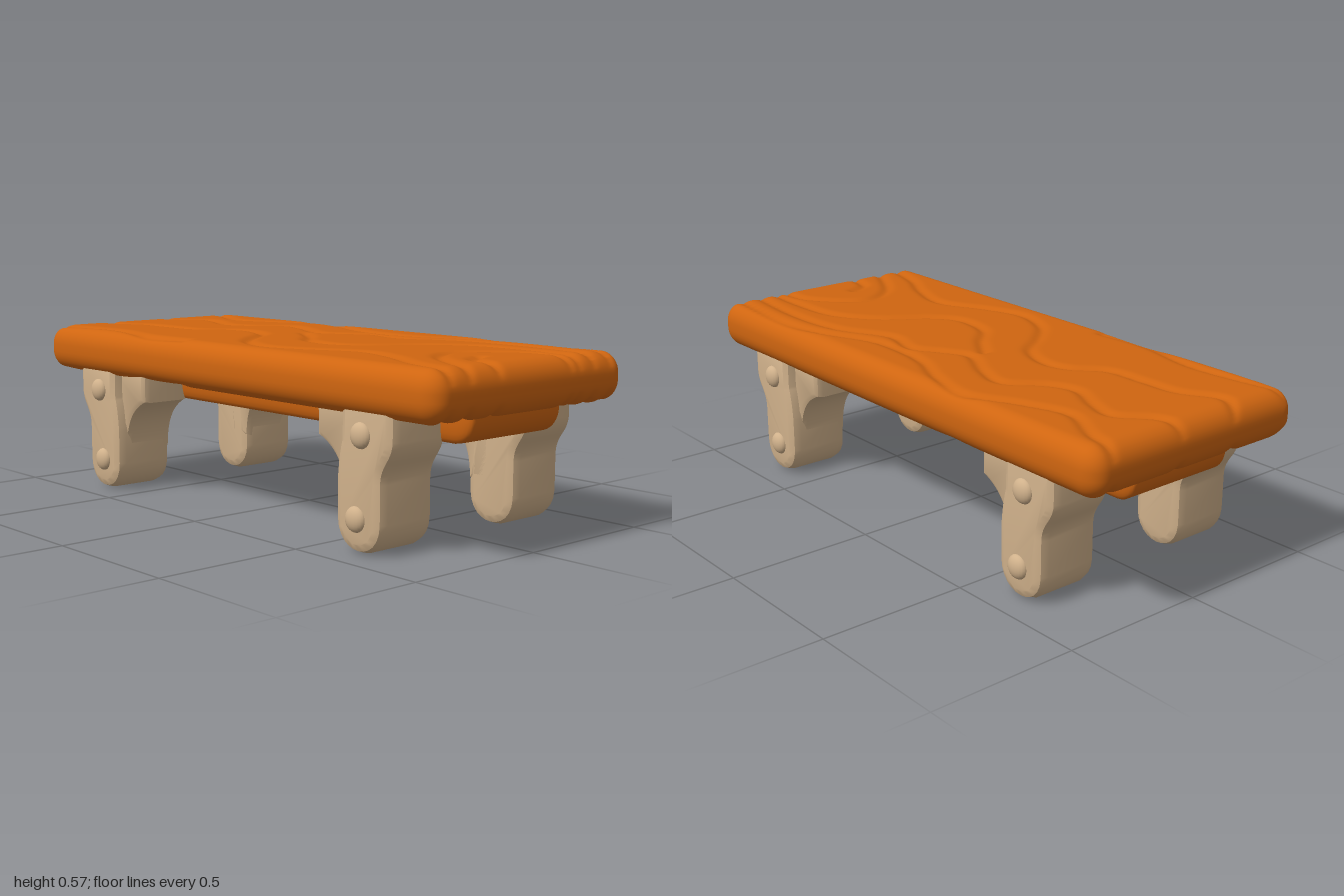
import * as THREE from 'three';
import { mergeVertices, toCreasedNormals } from 'three/addons/utils/BufferGeometryUtils.js';

// Wood grain: grooves across the board, as [x, z] points
const GRAIN = [
  [[-1, -.35], [-.88, -.33], [-.72, -.26], [-.55, -.31], [-.38, -.385], [-.2, -.35], [-.05, -.29], [.1, -.27], [.25, -.28], [.45, -.36], [.65, -.385], [1, -.36]],
  [[-1, -.07], [-.9, -.09], [-.8, -.17], [-.7, -.15], [-.58, -.1], [-.48, -.13], [-.37, -.225], [-.25, -.2], [-.1, -.13], [0, -.17], [.1, -.225], [.25, -.2], [.45, -.29], [.7, -.31], [1, -.28]],
  [[-1, .15], [-.9, .19], [-.78, .13], [-.65, .12], [-.5, .11], [-.4, .03], [-.3, .01], [-.18, .06], [-.1, .17], [0, .27], [.15, .32], [.3, .28], [.48, .2], [.65, .24], [.8, .31], [1, .36]],
  [[-.1, -.07], [0, 0], [.1, .09], [.25, .11], [.35, .04], [.45, -.1], [.6, -.2], [.8, -.22], [1, -.21]],
  [[1, -.17], [.85, -.16], [.72, -.06], [.68, .04], [.75, .15], [.9, .24], [1, .28]],
  [[.82, .05], [.86, .12], [.98, .15]],
  [[-1, .39], [-.8, .36], [-.62, .35], [-.4, .39], [-.2, .38]],
];

function grainSamples() {
  return GRAIN.flatMap((line) => new THREE.SplineCurve(line.map(([x, z]) => new THREE.Vector2(x, z))).getPoints(line.length * 12));
}

// Box whose edges are rounded by a separate radius on each axis
function softBox(size, radius, segments, groove = []) {
  const geo = new THREE.BoxGeometry(...size, ...segments);
  const pos = geo.attributes.position;
  const p = new THREE.Vector3(), q = new THREE.Vector3(), d = new THREE.Vector3();
  const r = new THREE.Vector3(...radius);
  const inner = new THREE.Vector3(...size).multiplyScalar(0.5).sub(r);
  const innerNeg = inner.clone().negate();
  for (let i = 0; i < pos.count; i++) {
    p.fromBufferAttribute(pos, i);
    q.copy(p).clamp(innerNeg, inner);
    d.copy(p).sub(q).divide(r).normalize();
    p.copy(q).addScaledVector(d.clone().multiply(r), 1);
    if (groove.length && Math.abs(d.y) > 0.3) {
      let near = 1;
      for (const g of groove) near = Math.min(near, (g.x - p.x) ** 2 + (g.y - p.z) ** 2);
      p.y -= d.y * 0.011 * Math.exp(-near / 0.0003);
    }
    pos.setXYZ(i, p.x, p.y, p.z);
  }
  geo.deleteAttribute('uv');
  geo.deleteAttribute('normal');
  const merged = mergeVertices(geo, 1e-5);
  merged.computeVertexNormals();
  return merged;
}

// Bevelled slab with a profile in x, y between two depths
function slab(shape, z0, z1, bevel) {
  const geo = new THREE.ExtrudeGeometry(shape, {
    depth: z1 - z0 - 2 * bevel, curveSegments: 12, bevelEnabled: true,
    bevelThickness: bevel, bevelSize: bevel * 0.8, bevelOffset: -bevel * 0.8, bevelSegments: 2,
  });
  geo.translate(0, 0, z0 + bevel);
  return toCreasedNormals(geo, 0.6);
}

// Front leg on the side given by s (+1 or -1)
function makeLeg(s, stone) {
  const leg = new THREE.Group();
  const add = (name, geo) => {
    const mesh = new THREE.Mesh(geo, stone);
    mesh.name = name;
    leg.add(mesh);
    return mesh;
  };

  const post = new THREE.Shape();
  post.moveTo(s * 0.815, 0.46);
  post.lineTo(s * 0.815, 0.35);
  post.bezierCurveTo(s * 0.81, 0.29, s * 0.765, 0.28, s * 0.765, 0.22);
  post.lineTo(s * 0.765, 0.1);
  post.bezierCurveTo(s * 0.76, -0.03, s * 0.575, -0.03, s * 0.57, 0.1);
  post.lineTo(s * 0.57, 0.22);
  post.quadraticCurveTo(s * 0.575, 0.29, s * 0.59, 0.34);
  post.lineTo(s * 0.59, 0.46);
  post.closePath();
  add('legPost', slab(post, 0.18, 0.41, 0.035));

  // Curved brace, set back from the outer face
  const brace = new THREE.Shape();
  brace.moveTo(s * 0.67, 0.46);
  brace.lineTo(s * 0.67, 0.14);
  brace.lineTo(s * 0.572, 0.14);
  brace.bezierCurveTo(s * 0.57, 0.25, s * 0.53, 0.3, s * 0.452, 0.33);
  brace.lineTo(s * 0.45, 0.46);
  brace.closePath();
  add('legBrace', slab(brace, 0.18, 0.375, 0.025));

  for (const [x, y] of [[0.685, 0.36], [0.665, 0.108]]) {
    const rivet = add('rivet', new THREE.SphereGeometry(0.04, 20, 14));
    rivet.scale.z = 0.6;
    rivet.position.set(s * x, y, 0.408);
  }
  return leg;
}

export function createModel() {
  const wood = new THREE.MeshStandardMaterial({ color: 0xcf6510 });
  wood.name = 'orange wood';
  const stone = new THREE.MeshStandardMaterial({ color: 0xd0b18b });
  stone.name = 'tan';
  const model = new THREE.Group();
  model.name = 'bench';

  // Thick plank with carved grain
  const top = new THREE.Mesh(softBox([2, 0.162, 0.865], [0.07, 0.07, 0.06], [200, 12, 90], grainSamples()), wood);
  top.name = 'tabletop';
  top.position.y = 0.496;
  model.add(top);

  // Support beam under the plank
  const beam = new THREE.Mesh(softBox([1.86, 0.17, 0.424], [0.075, 0.08, 0.022], [100, 12, 60]), wood);
  beam.name = 'underBeam';
  beam.position.y = 0.418;
  model.add(beam);

  // Four legs; the back pair is the front pair turned half round
  for (const turn of [0, Math.PI]) {
    for (const side of [-1, 1]) {
      const leg = makeLeg(side, stone);
      leg.name = turn ? 'backLeg' : 'frontLeg';
      leg.rotation.y = turn;
      model.add(leg);
    }
  }
  return model;
}
